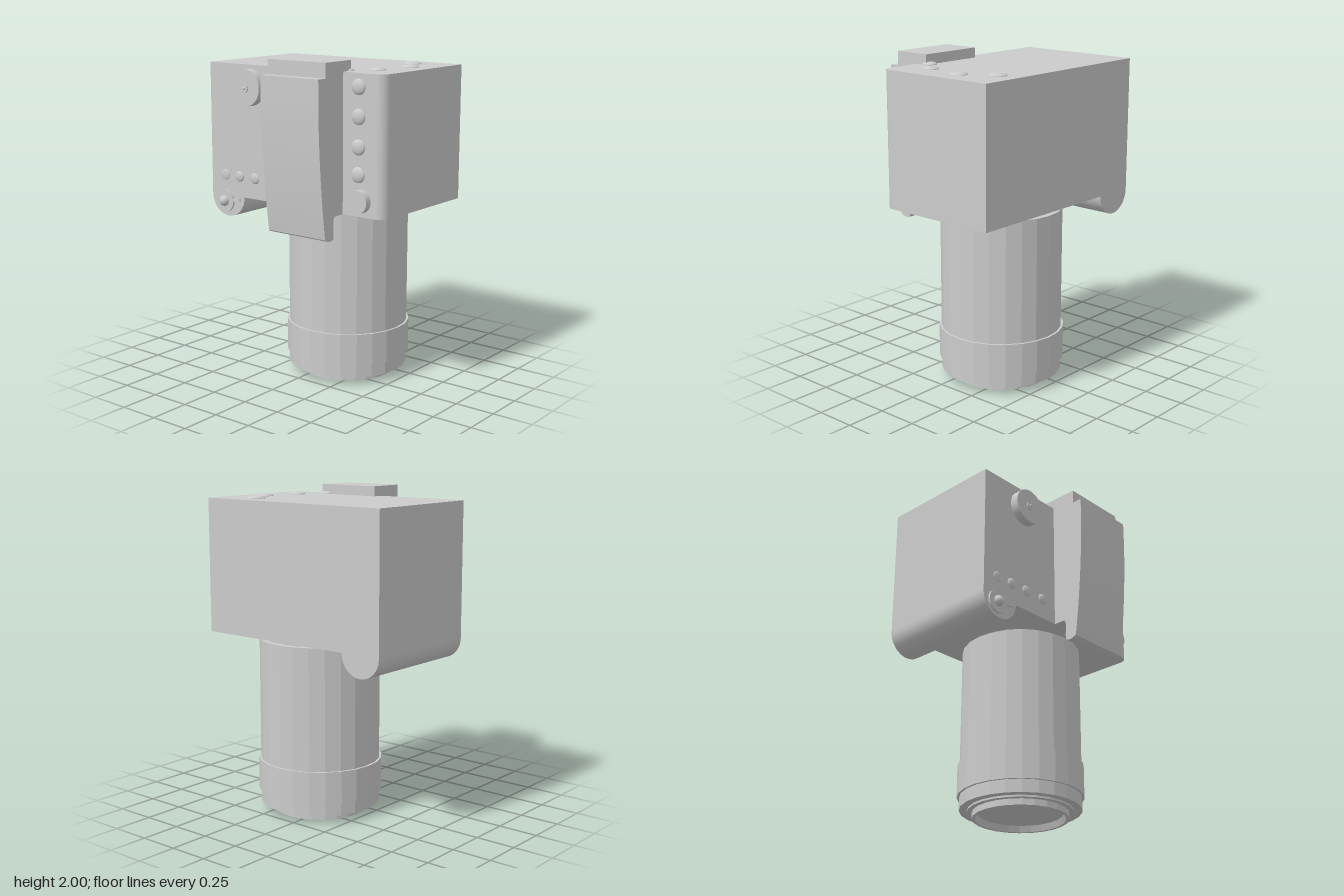
import * as THREE from 'three';
import { toCreasedNormals } from 'three/addons/utils/BufferGeometryUtils.js';

const FRONT = 0.29, BACK = -0.517, BOTTOM = 1.11, TOP = 1.938;

export function createModel() {
  const model = new THREE.Group();
  const grey = new THREE.MeshStandardMaterial({ color: 0xcccccc });
  const faceted = new THREE.MeshStandardMaterial({ color: 0xcccccc, flatShading: true });

  const add = (name, geometry, material = grey, parent = model) => {
    const mesh = new THREE.Mesh(geometry, material);
    mesh.name = name;
    parent.add(mesh);
    return mesh;
  };
  const extrude = (shape, depth) => toCreasedNormals(
    new THREE.ExtrudeGeometry(shape, { depth, bevelEnabled: false, curveSegments: 12 }), 0.5);

  // Disc standing on the front face
  const frontDisc = (name, x, y, r, z0, z1) => {
    const g = new THREE.CylinderGeometry(r, r, z1 - z0, 32).rotateX(Math.PI / 2);
    add(name, g).position.set(x, y, (z0 + z1) / 2);
  };
  // Shallow dome, pointing up or forward
  const dome = (name, x, y, z, r, h, forward) => {
    const g = new THREE.SphereGeometry(r, 24, 8, 0, Math.PI * 2, 0, Math.PI / 2).scale(1, h / r, 1);
    if (forward) g.rotateX(Math.PI / 2);
    add(name, g).position.set(x, y, z);
  };

  // Body: plan outline with one rounded front corner
  const plan = new THREE.Shape();
  plan.moveTo(-0.663, -FRONT);
  plan.lineTo(0.6, -FRONT);
  plan.absarc(0.6, -FRONT + 0.06, 0.06, -Math.PI / 2, 0, false);
  plan.lineTo(0.66, -BACK);
  plan.lineTo(-0.663, -BACK);
  plan.closePath();
  add('body', extrude(plan, TOP - BOTTOM).rotateX(-Math.PI / 2)).position.y = BOTTOM;

  // Rounded grip along one lower edge
  const lobe = new THREE.Shape();
  lobe.moveTo(-0.663, BOTTOM);
  lobe.absarc(-0.529, BOTTOM, 0.134, Math.PI, Math.PI * 2, false);
  lobe.closePath();
  add('grip', extrude(lobe, FRONT - BACK)).position.z = BACK;

  // Lens barrel, stepped rings and the recessed front glass
  const lens = new THREE.Group();
  lens.name = 'lens';
  lens.position.set(0.096, 0, -0.135);
  model.add(lens);
  const ring = (name, r, y0, y1) => {
    add(name, new THREE.CylinderGeometry(r, r, y1 - y0, 24), faceted, lens).position.y = (y0 + y1) / 2;
  };
  ring('lensMount', 0.335, 1.08, 1.12);
  ring('lensBarrel', 0.373, 0.32, 1.088);
  ring('focusRing', 0.387, 0.13, 0.33);
  ring('frontRing', 0.373, 0.05, 0.14);
  ring('frontStep', 0.325, 0.038, 0.06);
  const rim = [[0.26, 0.037], [0.275, 0], [0.294, 0], [0.294, 0.045]];
  add('lensRim', new THREE.LatheGeometry(rim.map(p => new THREE.Vector2(...p)), 24),
    new THREE.MeshStandardMaterial({ color: 0xcccccc, flatShading: true, side: THREE.DoubleSide }), lens);

  // Curved front housing: side profile (z, y) swept across x
  const side = new THREE.Shape();
  side.moveTo(0.215, 1.93);
  side.lineTo(0.215, 2);
  side.lineTo(0.455, 2);
  side.lineTo(0.455, 1.912);
  side.lineTo(0.518, 1.912);
  side.lineTo(0.518, 1.75);
  side.quadraticCurveTo(0.51, 1.36, 0.456, 0.985);
  side.quadraticCurveTo(0.42, 0.96, 0.382, 0.975);
  side.quadraticCurveTo(0.37, 1.0, 0.38, 1.05);
  side.quadraticCurveTo(0.38, 1.1, 0.365, BOTTOM);
  side.lineTo(0.28, BOTTOM + 0.001);
  side.lineTo(0.28, 1.93);
  side.closePath();
  add('frontHousing', extrude(side, 0.424).rotateY(-Math.PI / 2)).position.x = 0.373;

  // Domed buttons
  for (const y of [1.86, 1.69, 1.515, 1.355])
    dome('columnButton', 0.483, y, FRONT, 0.047, 0.02, true);
  [-0.55, -0.432, -0.305, -0.163].forEach((x, i) =>
    dome('rowButton', x, 1.24, FRONT, 0.034, i ? 0.013 : 0.007, true));
  for (const [x, z, r] of [[0.4, -0.37, 0.057], [0.512, -0.175, 0.056], [0.468, 0.083, 0.048], [0.343, 0.217, 0.045]])
    dome('topButton', x, TOP, z, r, 0.017, false);

  // Dials and release button
  frontDisc('releaseButton', 0.505, 1.205, 0.068, FRONT, 0.335);
  frontDisc('dial', -0.33, 1.802, 0.112, FRONT, 0.345);
  frontDisc('dialHub', -0.33, 1.802, 0.028, 0.345, 0.353);
  dome('dialPin', -0.33, 1.802, 0.353, 0.012, 0.006, true);

  // Switch with lever and ball knob
  frontDisc('switchBase', -0.552, 1.073, 0.072, FRONT, 0.302);
  const lever = add('switchLever', new THREE.BoxGeometry(0.08, 0.016, 0.012));
  lever.position.set(-0.468, 1.083, 0.295);
  lever.rotation.z = 0.15;
  add('switchKnob', new THREE.SphereGeometry(0.034, 20, 14)).position.set(-0.552, 1.073, 0.302);

  return model;
}
